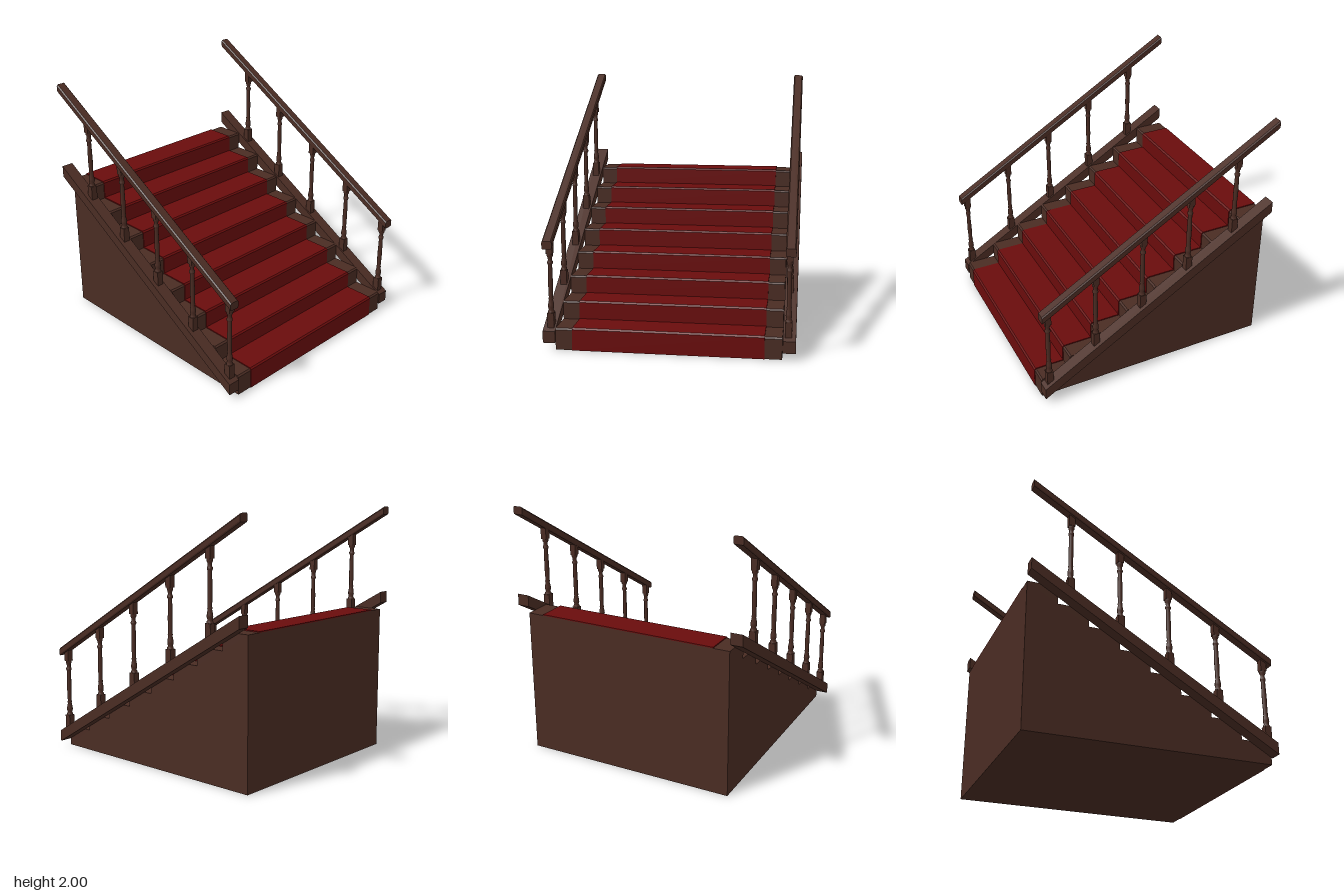
import * as THREE from 'three';

const wood = new THREE.MeshStandardMaterial({ color: 0x4a2c23 });
wood.name = 'dark wood';
const red = new THREE.MeshStandardMaterial({ color: 0x6a0c0c });
red.name = 'red carpet';

const HALF = 0.977;          // half length along x
const SLOPE = 0.593;         // fall of rails and stringers
const STEPS = 8, RUN = 2 * HALF / STEPS, FIRST = 0.168, RISE = 0.1415;

function add(parent, name, geometry, material) {
  const mesh = new THREE.Mesh(geometry, material);
  mesh.name = name;
  parent.add(mesh);
  return mesh;
}

// Step outline from the foot of the first riser up to the back edge, nosings chamfered
function stepLine(forward, up) {
  const c = 0.012, pts = [];
  for (let i = 0; i < STEPS; i++) {
    const x = HALF - 0.006 - i * RUN + forward;
    const y = FIRST + i * RISE + up;
    pts.push([x, i ? y - RISE : 0], [x, y - c], [x - c, y]);
  }
  pts.push([-HALF, FIRST + (STEPS - 1) * RISE + up]);
  return pts;
}

function extrudeAcross(points, width) {
  const shape = new THREE.Shape(points.map(p => new THREE.Vector2(...p)));
  const g = new THREE.ExtrudeGeometry(shape, { depth: width, bevelEnabled: false });
  return g.translate(0, 0, -width / 2);
}

// Bar with a (z, y) section running the whole length and sheared to the slope
function slopedBar(section, midY) {
  const shape = new THREE.Shape(section.map(p => new THREE.Vector2(...p)));
  const g = new THREE.ExtrudeGeometry(shape, { depth: 2 * HALF, bevelEnabled: false });
  g.translate(0, 0, -HALF).rotateY(Math.PI / 2);
  const shear = new THREE.Matrix4().set(1, 0, 0, 0, -SLOPE, 1, 0, midY, 0, 0, 1, 0, 0, 0, 0, 1);
  return g.applyMatrix4(shear);
}

// Turned baluster with square blocks at both ends, standing on local y = 0
function baluster() {
  const group = new THREE.Group();
  group.name = 'baluster';
  const base = new THREE.BoxGeometry(0.052, 0.13, 0.052).translate(0, 0.035, 0);
  const cap = new THREE.BoxGeometry(0.048, 0.1, 0.048).translate(0, 0.61, 0);
  add(group, 'balusterBase', base, wood);
  add(group, 'balusterTop', cap, wood);
  const profile = [
    [0.025, 0.1], [0.025, 0.112], [0.018, 0.122], [0.024, 0.145], [0.023, 0.165],
    [0.016, 0.2], [0.02, 0.208], [0.016, 0.22], [0.019, 0.32], [0.016, 0.475],
    [0.022, 0.485], [0.022, 0.497], [0.016, 0.507], [0.017, 0.53], [0.024, 0.543], [0.024, 0.562],
  ].map(p => new THREE.Vector2(...p));
  add(group, 'balusterShaft', new THREE.LatheGeometry(profile, 12), wood);
  return group;
}

export function createModel() {
  const model = new THREE.Group();
  model.name = 'staircase';

  // Solid flight of steps
  const line = stepLine(0, 0);
  add(model, 'steps', extrudeAcross([...line, [-HALF, 0]], 1.714), wood);

  // Carpet runner lying over treads and risers
  const runner = [...stepLine(0.006, 0.008), ...line.slice().reverse()];
  add(model, 'carpet', extrudeAcross(runner, 1.455), red);

  const stringer = [[-0.048, -0.046], [0.048, -0.046], [0.048, 0.046], [-0.048, 0.046]];
  const rail = [
    [-0.034, -0.031], [0.034, -0.031], [0.039, -0.02], [0.039, 0.02],
    [0.03, 0.031], [-0.03, 0.031], [-0.039, 0.02], [-0.039, -0.02],
  ];

  // Stringer, handrail and balusters on each side
  for (const side of [1, -1]) {
    const group = new THREE.Group();
    group.name = side > 0 ? 'frontBalustrade' : 'backBalustrade';
    group.position.z = side * 0.908;
    add(group, 'stringer', slopedBar(stringer, 0.676), wood);
    add(group, 'handrail', slopedBar(rail, 1.39), wood);
    for (let i = 0; i < 5; i++) {
      const b = baluster();
      const x = -0.66 + i * 0.395;
      b.position.set(x, 0.722 - SLOPE * x, side * -0.008);
      group.add(b);
    }
    model.add(group);
  }
  return model;
}
